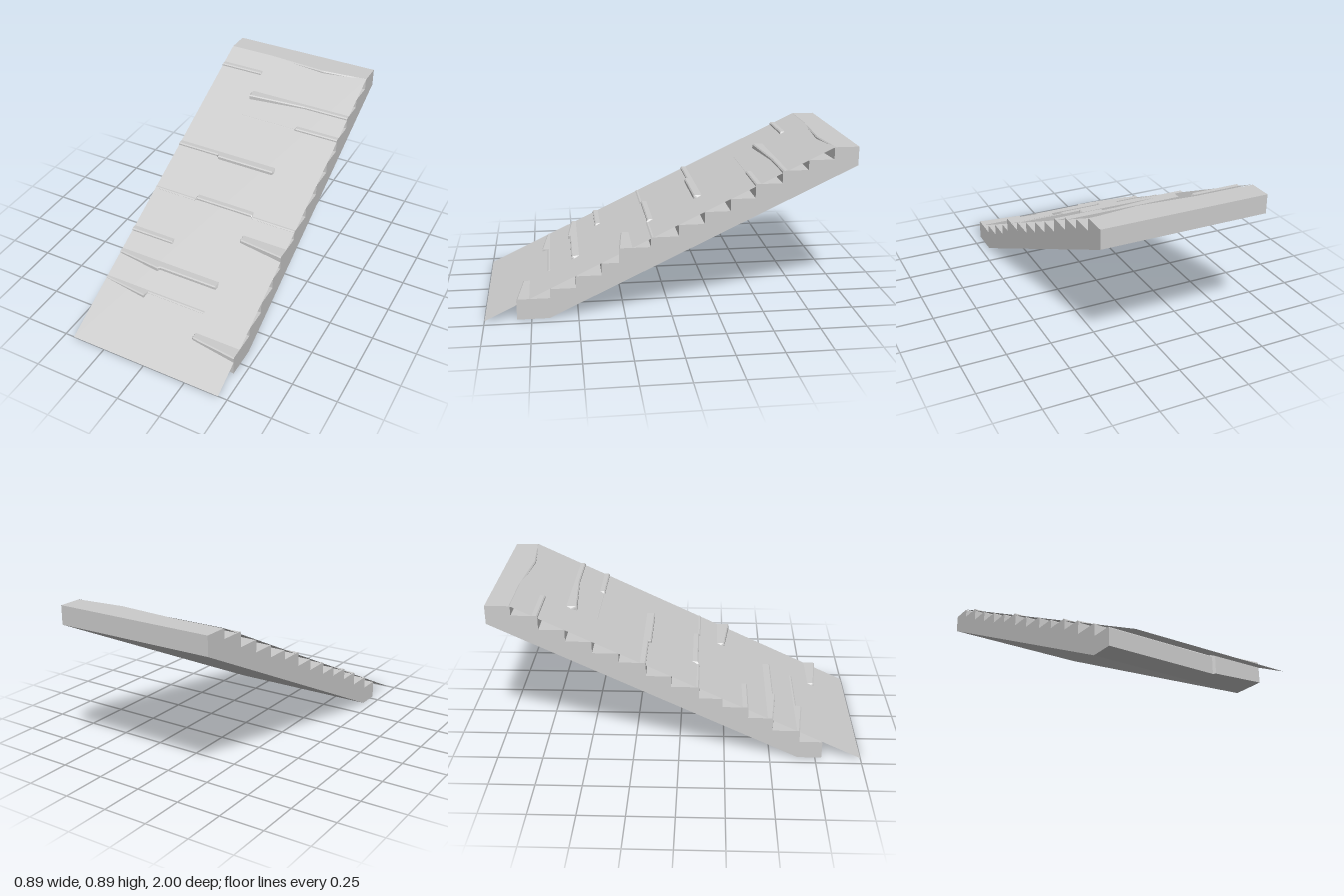
import * as THREE from 'three';

const HALF = 0.447;   // half width
const JOINT = 0.18;   // where the slabs of a step meet
const E = 0.005;      // half width of the slanted joint
const C = 0.006;      // worn nose chamfer
const RISE = 0.0663, RUN = 0.138;

// Uneven slabs per step: [top, nose z at -x end, nose z at +x end] for slots 0, 1, 2 along x
const uneven = {
  0: { 2: [0.115, 0.798, 0.828] },
  1: { 0: [0.17, 0.66, 0.69], 1: [0.17, 0.66, 0.66] },
  2: { 0: [0.248, 0.51, 0.537], 1: [0.248, 0.525, 0.525] },
  3: { 0: [0.314, 0.375, 0.375] },
  4: { 2: [0.38, 0.25, 0.279] },
  5: { 0: [0.434, 0.108, 0.108], 1: [0.446, 0.1, 0.1], 2: [0.434, 0.108, 0.108] },
  7: { 0: [0.577, -0.175, -0.175], 1: [0.577, -0.16, -0.16] },
  9: { 1: [0.698, -0.45, -0.45], 2: [0.708, -0.45, -0.45] },
  10: { 1: [0.776, -0.564, -0.593], 2: [0.776, -0.593, -0.593] },
  11: { 0: [0.842, -0.73, -0.73] },
  12: { 0: [0.895, -0.868, -0.868], 1: [0.895, -0.868, -0.842], 2: [0.895, -0.842, -0.868] },
};

// Side profile [z, y] of the stairs at one end of a slab slot
function profile(slot, end) {
  const pts = [];
  let below = 0;
  for (let k = 0; k < 13; k++) {
    const nominal = 0.786 - RUN * k;
    const [top, z0, z1] = uneven[k]?.[slot] ?? [0.1 + RISE * k, nominal, nominal];
    const z = end ? z1 : z0;
    pts.push([z, below], [z, top - C], [z - C, top]);
    below = top;
  }
  pts.push([-1, 0.895], [-1, 0.793], [0.655, 0]);
  return pts;
}

// Loft the profiles across the width and cap both sides
function stairsGeometry() {
  const xs = [-HALF, -JOINT - E, -JOINT + E, JOINT - E, JOINT + E, HALF];
  const sections = xs.map((x, i) =>
    profile(i >> 1, i % 2).map(([z, y]) => new THREE.Vector3(x, y, z)));
  const pos = [];
  const tri = (...v) => v.forEach((p) => pos.push(p.x, p.y, p.z));
  for (let s = 0; s < sections.length - 1; s++) {
    const a = sections[s], b = sections[s + 1];
    a.forEach((_, i) => {
      const j = (i + 1) % a.length;
      tri(a[i], b[i], b[j]);
      tri(a[i], b[j], a[j]);
    });
  }
  for (const [sec, side] of [[sections[0], -1], [sections[5], 1]]) {
    const flat = sec.map((p) => new THREE.Vector2(p.z, p.y));
    for (const [i, j, k] of THREE.ShapeUtils.triangulateShape(flat, [])) {
      const normal = new THREE.Vector3().subVectors(sec[j], sec[i])
        .cross(new THREE.Vector3().subVectors(sec[k], sec[i]));
      if (normal.x * side > 0) tri(sec[i], sec[j], sec[k]);
      else tri(sec[i], sec[k], sec[j]);
    }
  }
  const g = new THREE.BufferGeometry();
  g.setAttribute('position', new THREE.Float32BufferAttribute(pos, 3));
  g.computeVertexNormals();
  return g;
}

export function createModel() {
  const group = new THREE.Group();
  group.name = 'wornStairs';

  const stairs = new THREE.Mesh(stairsGeometry(),
    new THREE.MeshStandardMaterial({ color: 0xcccccc, flatShading: true }));
  stairs.name = 'stairs';
  group.add(stairs);

  // Thin sloping sheet resting on the step noses
  const front = 1, back = -0.87, height = 0.895;
  const sheet = new THREE.PlaneGeometry(2 * HALF, Math.hypot(front - back, height));
  sheet.rotateX(-Math.PI / 2 + Math.atan2(height, front - back));
  sheet.translate(0, height / 2, (front + back) / 2);
  const ramp = new THREE.Mesh(sheet,
    new THREE.MeshStandardMaterial({ color: 0xcccccc, side: THREE.DoubleSide }));
  ramp.name = 'ramp';
  group.add(ramp);
  return group;
}
